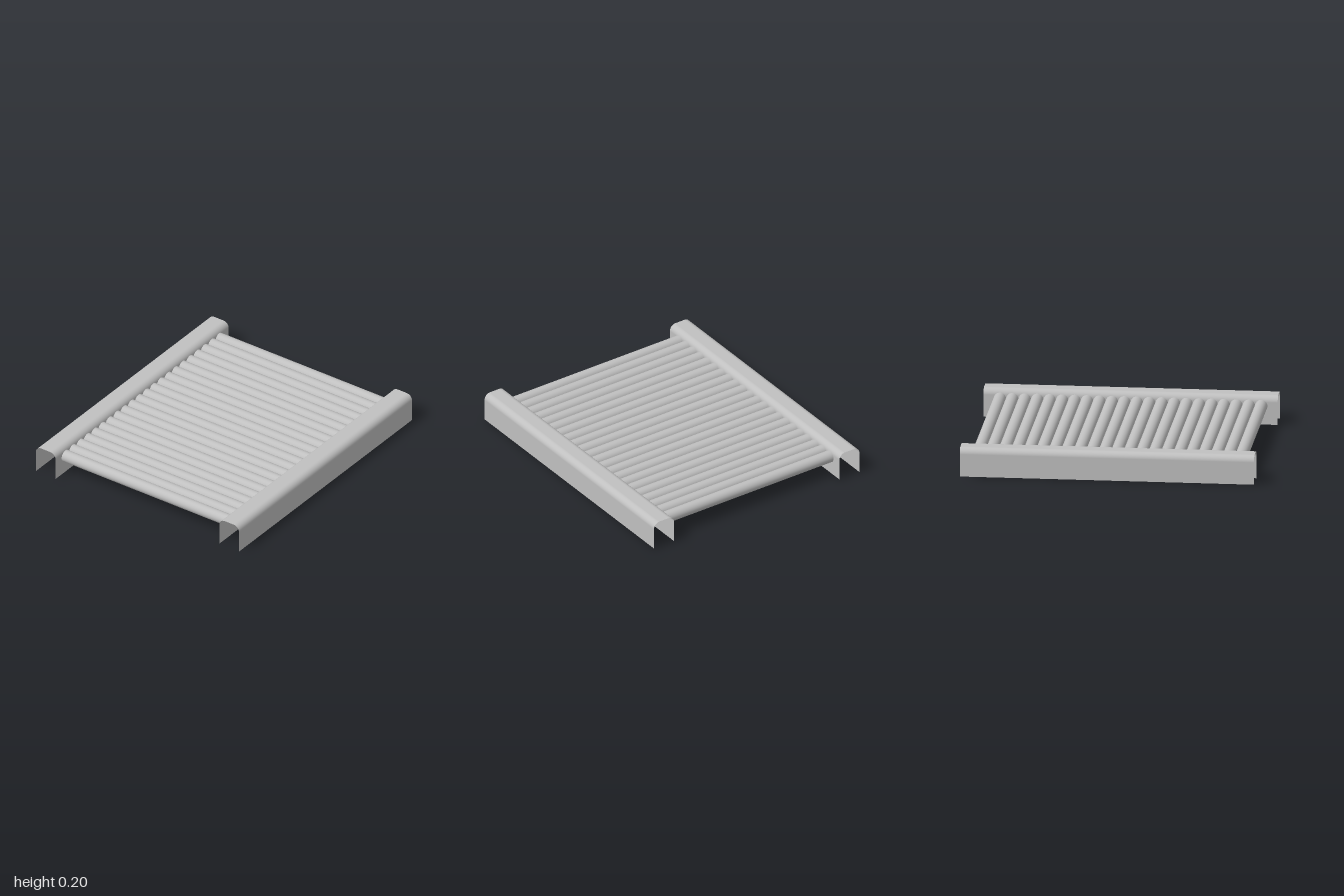
import * as THREE from 'three';

const LENGTH = 2, HEIGHT = 0.2, WIDTH = 0.165, CORNER = 0.045;
const INNER_Z = 0.682;
const ROLLERS = 22, PITCH = 0.0846, ROLLER_Y = 0.13;

// Inverted U of thin sheet with rounded top corners, swept along x
function channelGeometry() {
  const w = WIDTH / 2, positions = [], normals = [], index = [];
  const section = [[w, 0, 1, 0]]; // z, y, normal z, normal y
  for (const side of [1, -1]) {
    for (let i = 0; i <= 8; i++) {
      const a = (side > 0 ? i : 8 + i) / 8 * Math.PI / 2;
      const nz = Math.cos(a), ny = Math.sin(a);
      section.push([side * (w - CORNER) + nz * CORNER, HEIGHT - CORNER + ny * CORNER, nz, ny]);
    }
  }
  section.push([-w, 0, -1, 0]);
  section.forEach(([z, y, nz, ny], i) => {
    for (const x of [-LENGTH / 2, LENGTH / 2]) {
      positions.push(x, y, z);
      normals.push(0, ny, nz);
    }
    if (i > 0) {
      const a = 2 * (i - 1);
      index.push(a, a + 1, a + 3, a, a + 3, a + 2);
    }
  });
  const geometry = new THREE.BufferGeometry();
  geometry.setAttribute('position', new THREE.Float32BufferAttribute(positions, 3));
  geometry.setAttribute('normal', new THREE.Float32BufferAttribute(normals, 3));
  geometry.setIndex(index);
  return geometry;
}

export function createModel() {
  const model = new THREE.Group();
  model.name = 'rollerTrack';
  const steel = new THREE.MeshStandardMaterial({ color: 0xc0c0c0, side: THREE.DoubleSide });
  steel.name = 'lightGreySteel';

  // Side channels
  const channel = channelGeometry();
  for (const [name, side] of [['frontChannel', 1], ['backChannel', -1]]) {
    const mesh = new THREE.Mesh(channel, steel);
    mesh.name = name;
    mesh.position.z = side * (INNER_Z + WIDTH / 2);
    model.add(mesh);
  }

  // Row of rollers, their ends closed off by the channel walls
  const rollers = new THREE.Group();
  rollers.name = 'rollers';
  const tube = new THREE.CylinderGeometry(0.042, 0.042, INNER_Z * 2, 32, 1, true).rotateX(Math.PI / 2);
  for (let i = 0; i < ROLLERS; i++) {
    const roller = new THREE.Mesh(tube, steel);
    roller.name = `roller${i + 1}`;
    roller.position.set((i - (ROLLERS - 1) / 2) * PITCH, ROLLER_Y, 0);
    rollers.add(roller);
  }
  model.add(rollers);
  return model;
}
